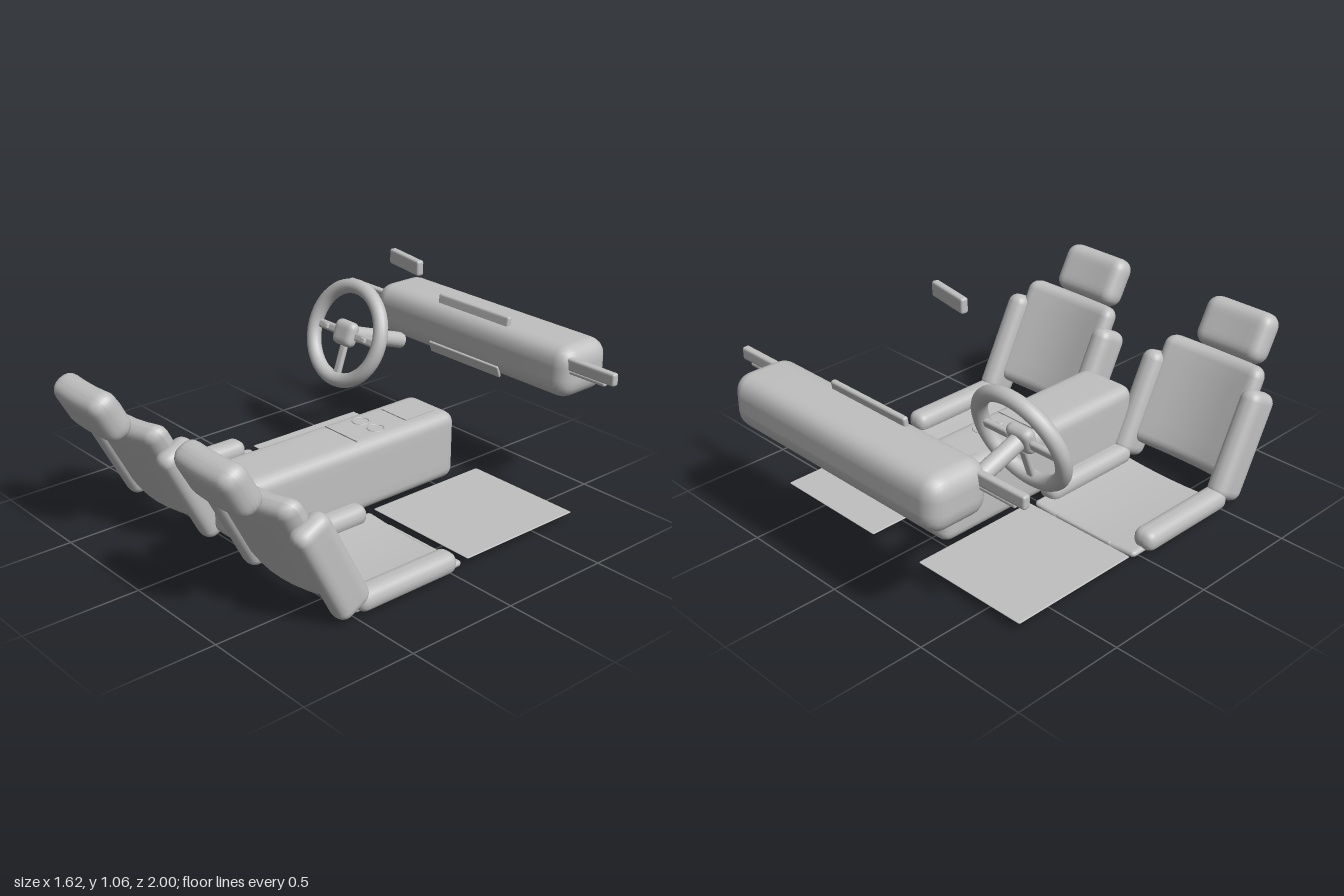
import * as THREE from 'three';
import { mergeVertices } from 'three/addons/utils/BufferGeometryUtils.js';

const trim = new THREE.MeshStandardMaterial({ color: 0xc0c0c0 });
trim.name = 'grey trim';

// Rounded block; the optional bend rule moves each vertex afterwards
function padGeometry(w, h, d, r, bend) {
  const n = 12;
  const geo = new THREE.BoxGeometry(2, 2, 2, n, n, n);
  geo.deleteAttribute('uv');
  geo.deleteAttribute('normal');
  const pos = geo.attributes.position;
  const half = [w / 2, h / 2, d / 2];
  const v = new THREE.Vector3();
  for (let i = 0; i < pos.count; i++) {
    const t = [pos.getX(i), pos.getY(i), pos.getZ(i)];
    const c = t.map((a) => Math.max(0, Math.abs(a) - 0.5) * 2);
    const len = Math.hypot(...c) || 1;
    const p = t.map((a, k) => {
      const rk = Math.min(r, half[k] * 0.98);
      const inner = (half[k] - rk) * Math.min(1, Math.abs(a) * 2);
      return Math.sign(a) * (inner + (rk * c[k]) / len);
    });
    v.set(...p);
    if (bend) bend(v);
    pos.setXYZ(i, v.x, v.y, v.z);
  }
  const merged = mergeVertices(geo, 1e-5);
  merged.computeVertexNormals();
  return merged;
}

function add(parent, name, geo, x = 0, y = 0, z = 0, rx = 0) {
  const mesh = new THREE.Mesh(geo, trim);
  mesh.name = name;
  mesh.position.set(x, y, z);
  mesh.rotation.x = rx;
  parent.add(mesh);
  return mesh;
}

function pad(parent, name, size, r, at, rx = 0, bend) {
  return add(parent, name, padGeometry(...size, r, bend), ...at, rx);
}

function makeSeat(x) {
  const seat = new THREE.Group();
  seat.name = x < 0 ? 'rightSeat' : 'leftSeat';
  seat.position.x = x;

  // Thin dished cushion with a front lip
  pad(seat, 'seatCushion', [0.55, 0.03, 0.56], 0.02, [0, 0.033, 0.225], 0, (v) => {
    v.y -= 0.014 * (1 - (v.x / 0.275) ** 2);
  });
  pad(seat, 'cushionFrontLip', [0.3, 0.025, 0.02], 0.01, [0, 0.025, -0.045]);

  // Reclined backrest, hollowed towards the rear
  const back = new THREE.Group();
  back.name = 'reclinedBack';
  back.position.set(0, 0.26, 0.615);
  back.rotation.x = 0.48;
  seat.add(back);
  pad(back, 'backrest', [0.51, 0.5, 0.1], 0.05, [0, 0.083, 0], 0, (v) => {
    v.z += 0.04 * (1 - (v.x / 0.255) ** 2);
  });
  pad(back, 'headrest', [0.345, 0.225, 0.125], 0.055, [0, 0.44, 0.095], 0.03, (v) => {
    v.z += 0.01 * (1 - (v.x / 0.17) ** 2);
  });

  // Bolsters on both sides
  for (const s of [-1, 1]) {
    pad(seat, 'cushionBolster', [0.105, 0.092, 0.5], 0.04, [s * 0.262, 0.069, 0.25]);
    pad(back, 'backBolster', [0.1, 0.478, 0.165], 0.045, [s * 0.265, 0, 0]);
  }
  return seat;
}

function makeSteering() {
  const wheel = new THREE.Group();
  wheel.name = 'steeringWheel';
  wheel.position.set(-0.415, 0.597, -0.405);
  wheel.rotation.x = -0.33;
  add(wheel, 'rim', new THREE.TorusGeometry(0.212, 0.033, 16, 48));
  pad(wheel, 'hub', [0.125, 0.115, 0.06], 0.03, [0, 0, 0.005]);
  pad(wheel, 'lowerSpoke', [0.04, 0.16, 0.025], 0.012, [0, -0.13, -0.005]);
  for (const s of [-1, 1]) {
    pad(wheel, 'sideSpoke', [0.15, 0.04, 0.025], 0.012, [s * 0.13, 0, -0.005]);
    pad(wheel, 'spokeButton', [0.03, 0.025, 0.016], 0.006, [s * 0.125, 0, 0.013]);
  }
  const column = new THREE.CylinderGeometry(0.037, 0.037, 0.33, 24);
  column.rotateX(Math.PI / 2);
  add(wheel, 'steeringColumn', column, 0, 0, -0.18);
  return wheel;
}

export function createModel() {
  const model = new THREE.Group();
  model.name = 'carInterior';

  // Dashboard with screen and lower ledge
  pad(model, 'dashboard', [1.18, 0.23, 0.28], 0.075, [0, 0.605, -0.86]);
  pad(model, 'dashScreen', [0.425, 0.06, 0.025], 0.01, [0, 0.725, -0.782], -0.15);
  pad(model, 'dashLowerPanel', [0.425, 0.055, 0.014], 0.006, [0, 0.517, -0.73], 0.35);

  for (const s of [-1, 1]) {
    // Side arms beside the dashboard
    pad(model, 'sideArm', [0.26, 0.055, 0.033], 0.01, [s * 0.68, 0.654, -0.768]);
    pad(model, 'sideArmLowerStrip', [0.2, 0.016, 0.025], 0.006, [s * 0.66, 0.62, -0.768]);
    // Floor mats
    pad(model, 'floorMat', [0.555, 0.006, 0.61], 0.008, [s * 0.415, 0.045, -0.385]);
    model.add(makeSeat(s * 0.415));
  }

  // Centre console and its fittings
  pad(model, 'centreConsole', [0.285, 0.31, 1.115], 0.05, [0, 0.205, 0.005]);
  add(model, 'consoleScreen', new THREE.BoxGeometry(0.155, 0.008, 0.165), -0.005, 0.36, -0.4);
  add(model, 'armrestSeam', new THREE.BoxGeometry(0.2, 0.008, 0.01), 0, 0.361, -0.02);
  add(model, 'rearVentPanel', new THREE.BoxGeometry(0.18, 0.11, 0.008), 0, 0.245, 0.561);
  for (const s of [-1, 1]) {
    const ring = new THREE.TorusGeometry(0.036, 0.004, 8, 32);
    ring.rotateX(Math.PI / 2);
    add(model, 'cupHolderRing', ring, s * 0.048, 0.36, -0.17);
  }

  model.add(makeSteering());

  // Rear view mirror, turned towards the driver
  const mirror = pad(model, 'rearViewMirror', [0.215, 0.064, 0.032], 0.01, [-0.003, 1.033, -0.374]);
  mirror.rotation.y = -0.18;
  return model;
}
